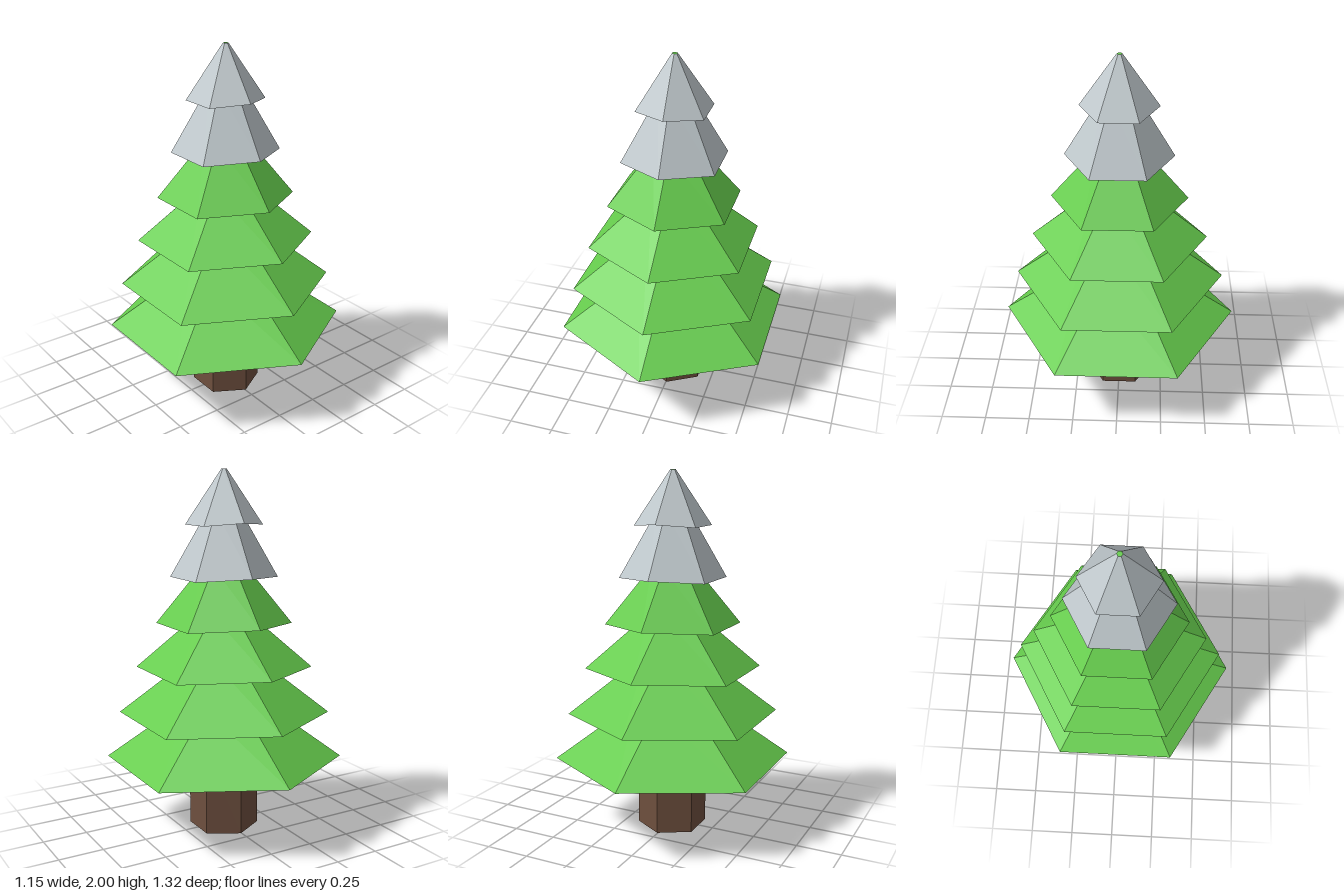
import * as THREE from 'three';

const material = (color) => new THREE.MeshStandardMaterial({ color, flatShading: true });
const green = material(0x66cc4d);
const snow = material(0xc0c9cd);
const brown = material(0x6e4f3e);

// Six-sided solid of revolution from [radius, height] pairs, corners on the z axis
function hexLathe(name, profile, mat) {
  const points = profile.map(([r, y]) => new THREE.Vector2(r, y));
  const mesh = new THREE.Mesh(new THREE.LatheGeometry(points, 6), mat);
  mesh.name = name;
  return mesh;
}

// Lift the front and back corners of a rim slightly
function liftRim(mesh, rimY) {
  const p = mesh.geometry.attributes.position;
  for (let i = 0; i < p.count; i++) {
    const onAxisZ = Math.abs(p.getX(i)) < 1e-4 && Math.abs(p.getZ(i)) > 1e-3;
    if (onAxisZ && Math.abs(p.getY(i) - rimY) < 1e-4) p.setY(i, rimY + 0.016);
  }
  mesh.geometry.computeVertexNormals();
  return mesh;
}

export function createModel() {
  const tree = new THREE.Group();
  tree.name = 'tree';

  // Trunk, reaching up into the lowest tier
  const trunk = hexLathe('trunk', [[0, 0], [0.193, 0], [0.193, 0.48], [0, 0.48]], brown);
  trunk.position.set(0.004, 0, -0.003);
  tree.add(trunk);

  // Tiers: rim radius, rim height, top radius, top height
  const tiers = [
    [0.662, 0.4, 0.3, 0.66],
    [0.588, 0.66, 0.24, 0.93],
    [0.488, 0.922, 0.2, 1.17],
    [0.374, 1.17, 0.167, 1.425],
    [0.294, 1.425, 0.13, 1.71],
    [0.21, 1.707, 0.015, 2],
  ];
  tiers.forEach(([r, y, topR, topY], i) => {
    const tier = new THREE.Group();
    tier.name = `tier${i + 1}`;
    const last = i === tiers.length - 1;
    // All but the last run on a little inside the tier above
    const t = last ? 1 : 1.25;
    const top = [r + (topR - r) * t, y + (topY - y) * t];
    tier.add(liftRim(hexLathe('branches', [[r, y], top], i < 4 ? green : snow), y));
    // Slightly hollow underside
    tier.add(liftRim(hexLathe('underside', [[0, y + 0.11 * r], [r, y]], green), y));
    if (last) tier.add(hexLathe('tip', [top, [0, topY]], green));
    tree.add(tier);
  });

  return tree;
}
